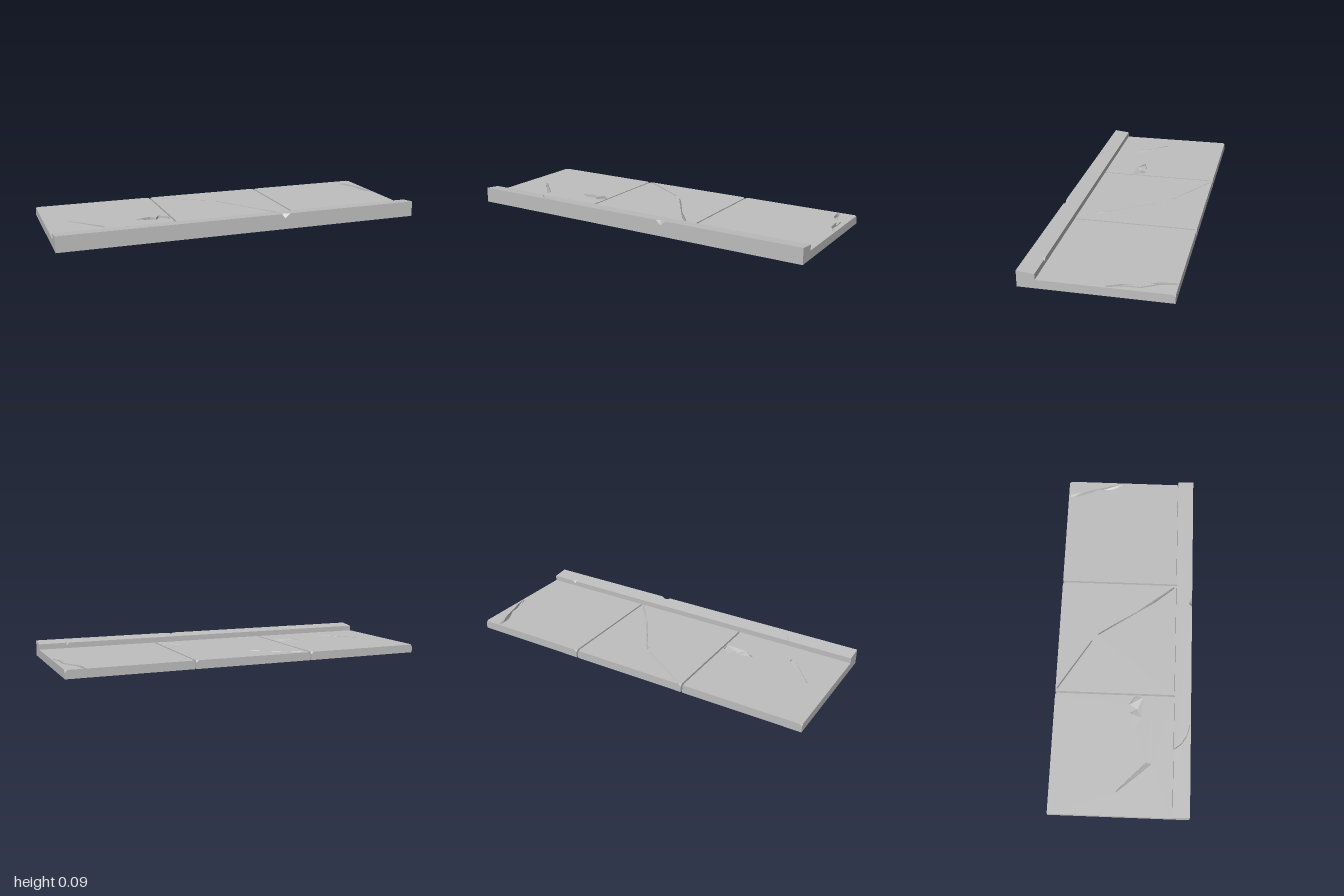
import * as THREE from 'three';

const concrete = new THREE.MeshStandardMaterial({ color: 0xbebebe, side: THREE.DoubleSide });
concrete.name = 'concrete';

const BACK = -0.375, SEAM = 0.285, FRONT = 0.375, SLAB_Y = 0.045;
const slabTop = () => SLAB_Y;
const curbTop = (z) => 0.075 + (z - SEAM) / 9;

function addMesh(group, name, geometry) {
  const mesh = new THREE.Mesh(geometry, concrete);
  mesh.name = name;
  group.add(mesh);
}

// Flat-shaded faces from [x, y, z] polygons of three or four corners
function faces(polygons) {
  const pos = [];
  for (const p of polygons) {
    for (let i = 1; i < p.length - 1; i++) pos.push(...p[0], ...p[i], ...p[i + 1]);
  }
  const g = new THREE.BufferGeometry();
  g.setAttribute('position', new THREE.Float32BufferAttribute(pos, 3));
  g.computeVertexNormals();
  return g;
}

// Band of quads between two rings of equal length
function band(a, b, closed = true) {
  const out = [];
  for (let i = 0; i < a.length - (closed ? 0 : 1); i++) {
    const j = (i + 1) % a.length;
    out.push([a[i], b[i], b[j], a[j]]);
  }
  return out;
}

// Top surface: an [x, z] outline with holes, lifted to height(z)
function topSurface(outline, holes, height) {
  const v = ([x, z]) => new THREE.Vector2(x, -z);
  const shape = new THREE.Shape(outline.map(v));
  for (const h of holes) shape.holes.push(new THREE.Path(h.map(v)));
  const g = new THREE.ShapeGeometry(shape);
  const p = g.attributes.position;
  for (let i = 0; i < p.count; i++) {
    const z = -p.getY(i);
    p.setXYZ(i, p.getX(i), height(z), z);
  }
  g.computeVertexNormals();
  return g;
}

// Damage pit: corners are [x, z, depth]; sloping floor with walls up to the surface
function pit(corners, height) {
  const rim = corners.map(([x, z]) => [x, height(z), z]);
  const floor = corners.map(([x, z, d]) => [x, height(z) - d, z]);
  const tris = THREE.ShapeUtils.triangulateShape(corners.map(([x, z]) => new THREE.Vector2(x, -z)), []);
  return faces([...tris.map((t) => t.map((i) => floor[i])), ...band(rim, floor)]);
}

// Crack along a path of [x, z, halfWidth]: one side at the surface, the other deep
function crack(path, depth, lip = 0) {
  const a = [], b = [];
  path.forEach(([x, z, w], i) => {
    const p = path[Math.max(i - 1, 0)], n = path[Math.min(i + 1, path.length - 1)];
    const dx = n[0] - p[0], dz = n[1] - p[1], l = Math.hypot(dx, dz);
    const tip = i === 0 || i === path.length - 1;
    a.push([x - dz / l * w, z + dx / l * w, tip ? 0 : -lip]);
    b.push([x + dz / l * w, z - dx / l * w, depth]);
  });
  return [...a, ...b.reverse()];
}

// Open-bottomed paving slab with clipped rear corners
function slab(name, x0, x1, pits) {
  const g = new THREE.Group();
  g.name = name;
  const c = 0.012;
  const outline = [[x0, SEAM], [x1, SEAM], [x1, BACK + c], [x1 - c, BACK], [x0 + c, BACK], [x0, BACK + c]];
  const square = [[x0, SEAM], [x1, SEAM], [x1, BACK], [x1, BACK], [x0, BACK], [x0, BACK]];
  const ring = (pts, y) => pts.map(([x, z]) => [x, y, z]);
  addMesh(g, 'slabTop', topSurface(outline, pits, slabTop));
  addMesh(g, 'slabSides', faces([
    ...band(ring(outline, SLAB_Y), ring(square, 0.032)),
    ...band(ring(square, 0.032), ring(square, 0)),
  ]));
  for (const p of pits) addMesh(g, 'damage', pit(p, slabTop));
  return g;
}

// Open-bottomed curb with a sloped top, two chipped edges and a hairline crack
function curb() {
  const g = new THREE.Group();
  g.name = 'curb';
  const frontChip = [[0.185, FRONT], [0.205, 0.356], [0.245, FRONT]];
  const backChip = [[0.86, SEAM], [0.842, 0.3], [0.835, SEAM]];
  const hairline = crack([[-0.638, 0.289, 0.002], [-0.61, 0.325, 0.002], [-0.57, 0.352, 0.002],
    [-0.505, 0.371, 0.002]], 0.006);
  const outline = [[-1, FRONT], ...frontChip, [1, FRONT], [1, SEAM], ...backChip, [-1, SEAM]];
  addMesh(g, 'curbTop', topSurface(outline, [hairline], curbTop));
  addMesh(g, 'curbCrack', pit(hairline, curbTop));

  // Long walls, each dipping to the bottom of its chip
  const wall = (z, l, m, r, dip) => {
    const y = curbTop(z);
    const top = [[-1, y, z], [l, y, z], [m, dip, z], [r, y, z], [1, y, z]];
    return band(top, top.map(([x]) => [x, 0, z]), false);
  };
  addMesh(g, 'curbFront', faces(wall(FRONT, 0.185, 0.215, 0.245, 0.06)));
  addMesh(g, 'curbBack', faces(wall(SEAM, 0.835, 0.845, 0.86, 0.06).map((q) => q.reverse())));
  addMesh(g, 'curbEnds', faces([-1, 1].map((x) => {
    const q = [[x, 0, FRONT], [x, 0, SEAM], [x, curbTop(SEAM), SEAM], [x, curbTop(FRONT), FRONT]];
    return x > 0 ? q : q.reverse();
  })));

  // Broken faces inside the chips
  const chipFaces = (chip, bottom) => {
    const [a, b, c] = chip.map(([x, z]) => [x, curbTop(z), z]);
    return [[a, bottom, b], [b, bottom, c]];
  };
  addMesh(g, 'chippedEdges', faces([
    ...chipFaces(frontChip, [0.215, 0.06, FRONT]),
    ...chipFaces(backChip, [0.845, 0.06, SEAM]),
  ]));
  return g;
}

export function createModel() {
  const model = new THREE.Group();
  model.name = 'pavementWithCurb';

  // Gouge and jagged pit
  const gouge = [[-0.878, -0.018, 0.004], [-0.865, -0.015, 0.01], [-0.71, 0.14, 0.014], [-0.718, 0.17, 0]];
  const jagged = [[-0.522, 0.07, 0.01], [-0.44, 0.045, 0.014], [-0.418, 0.082, 0.014], [-0.392, 0.037, 0.014],
    [-0.346, 0.068, 0.014], [-0.346, 0.115, 0], [-0.42, 0.164, 0], [-0.465, 0.108, 0]];

  // Diagonal cracks
  const rearCrack = crack([[-0.315, -0.367, 0.004], [-0.17, -0.275, 0.005], [-0.025, -0.185, 0.003]], 0.014);
  const longCrack = crack([[0.012, -0.155, 0.004], [0.07, -0.065, 0.007], [0.15, 0.07, 0.011],
    [0.23, 0.165, 0.008], [0.318, 0.274, 0.004]], 0.014);

  // Broken corner with a slightly raised lip
  const corner = crack([[0.989, -0.05, 0.006], [0.963, -0.12, 0.011], [0.96, -0.205, 0.012],
    [0.913, -0.29, 0.011], [0.902, -0.368, 0.007]], 0.018, 0.006).map(([x, z, d]) => [Math.min(x, 0.996), z, d]);

  model.add(
    slab('rightSlab', -1, -0.34, [gouge, jagged]),
    slab('middleSlab', -0.33, 0.328, [rearCrack, longCrack]),
    slab('leftSlab', 0.338, 1, [corner]),
    curb(),
  );
  return model;
}
